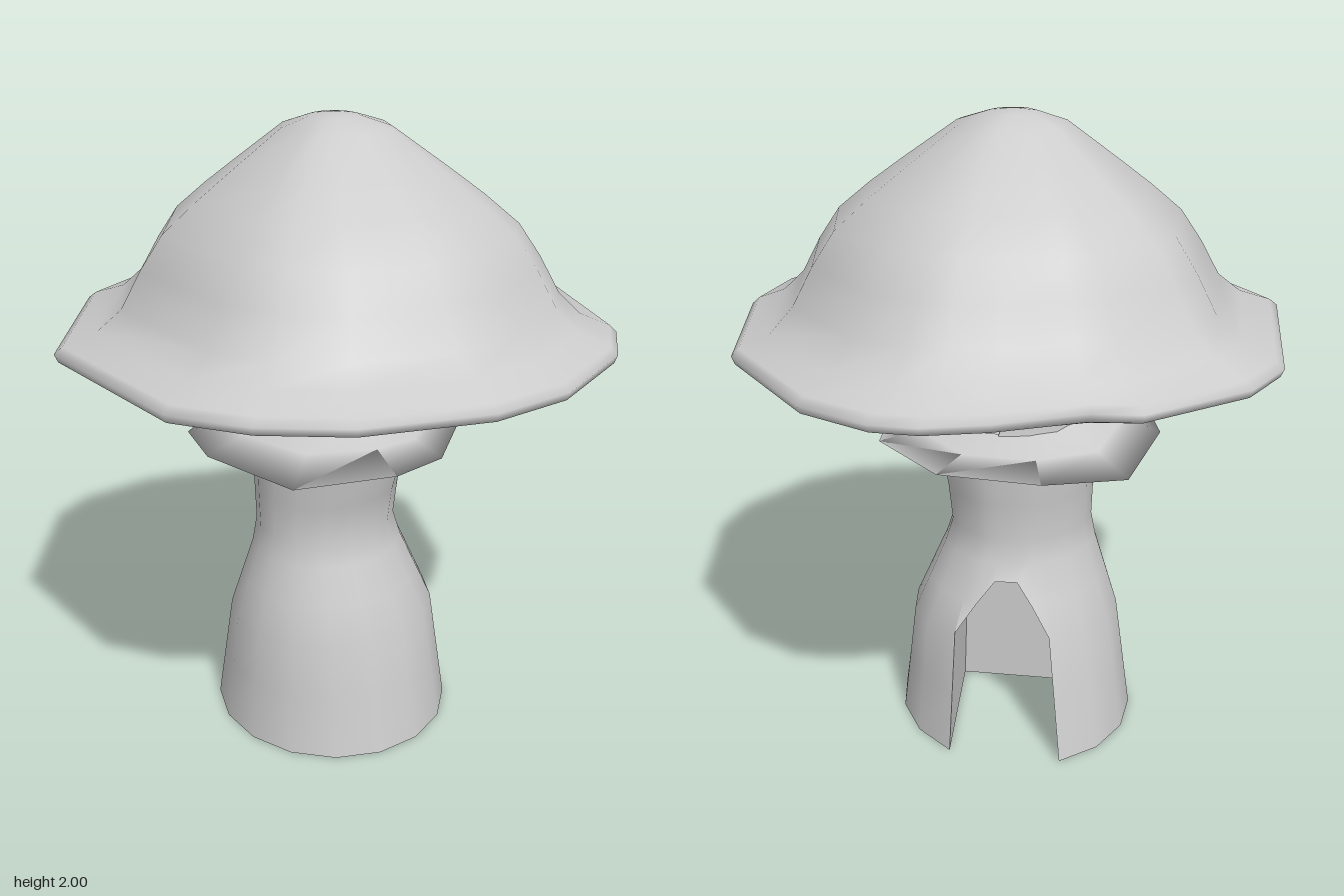
import * as THREE from 'three';
import { mergeVertices } from 'three/addons/utils/BufferGeometryUtils.js';

const V = (x, y, z) => new THREE.Vector3(x, y, z);
const material = new THREE.MeshStandardMaterial({ color: 0xcccccc, side: THREE.DoubleSide });

// Skin a stack of point rows (bottom to top, angle from +x toward +z); smooth or faceted
function loft(name, rows, { closed = true, smooth = true } = {}) {
  const n = rows[0].length, index = [];
  for (let j = 0; j < rows.length - 1; j++) {
    for (let i = 0; i < (closed ? n : n - 1); i++) {
      const a = j * n + i, b = j * n + (i + 1) % n;
      index.push(a, a + n, b, b, a + n, b + n);
    }
  }
  let geo = new THREE.BufferGeometry().setFromPoints(rows.flat());
  geo.setIndex(index);
  geo = smooth ? mergeVertices(geo, 1e-4) : geo.toNonIndexed();
  geo.computeVertexNormals();
  const mesh = new THREE.Mesh(geo, material);
  mesh.name = name;
  return mesh;
}

// Linear lookup in a table of [key, ...values]
function lookup(table, key) {
  let k = 0;
  while (k < table.length - 2 && key > table[k + 1][0]) k++;
  const [a, b] = [table[k], table[k + 1]];
  const t = THREE.MathUtils.clamp((key - a[0]) / (b[0] - a[0]), 0, 1);
  return a.slice(1).map((v, i) => v + (b[i + 1] - v) * t);
}

// Stem sections: height, min x, max x, min z, max z
const STEM = [
  [0, -0.41, 0.36, -0.45, 0.36], [0.38, -0.37, 0.315, -0.36, 0.285],
  [0.62, -0.3, 0.205, -0.26, 0.195], [0.7, -0.28, 0.185, -0.25, 0.165],
  [0.82, -0.285, 0.195, -0.255, 0.18], [1.0, -0.29, 0.22, -0.28, 0.23],
  [1.14, -0.27, 0.17, -0.265, 0.23], [1.33, -0.285, 0.185, -0.285, 0.26],
  [1.5, -0.265, 0.165, -0.26, 0.235], [1.65, -0.2, 0.11, -0.2, 0.17],
];
function stemPoint(angle, y) {
  const [x0, x1, z0, z1] = lookup(STEM, y);
  return V((x0 + x1) / 2 + (x1 - x0) / 2 * Math.cos(angle), y,
    (z0 + z1) / 2 + (z1 - z0) / 2 * Math.sin(angle));
}

// Openings: angles of the two sides, foot, and arch as [fraction across, height]
const DOOR = { from: -1.46, to: -0.51, foot: 0, plane: -0.08, spread: 1.2,
  arch: [[0, 0.4], [0.18, 0.5], [0.36, 0.57], [0.64, 0.57], [0.82, 0.5], [1, 0.4]] };
const WINDOW = { from: -0.85, to: 0.15, foot: 1.06, plane: -0.06, spread: 1.1,
  arch: [[0, 1.36], [0.14, 1.46], [0.34, 1.53], [0.66, 1.53], [0.86, 1.46], [1, 1.36]] };

// Stem wall whose lower edge rises over an opening
function stemWall(name, heights, o) {
  const columns = o.arch.map(([f, y]) => [o.from + (o.to - o.from) * f, y]);
  const sweep = Math.PI * 2 - (o.to - o.from), steps = 14;
  for (let i = 0; i <= steps; i++) columns.push([o.to + sweep * i / steps, o.foot]);
  // rows below the arch collapse onto its edge
  const rows = heights.map(y => columns.map(([a, low]) => stemPoint(a, Math.max(y, low))));
  return loft(name, rows);
}

// Recess behind an opening: jambs running inward to a flat back panel
function recess(name, o) {
  const mid = (o.from + o.to) / 2;
  const out = V(Math.cos(mid), 0, Math.sin(mid)), across = V(-Math.sin(mid), 0, Math.cos(mid));
  const onPanel = (u, y) => across.clone().multiplyScalar(u).addScaledVector(out, o.plane).setY(y);
  const outline = [[0, o.foot], ...o.arch, [1, o.foot]]
    .map(([f, y]) => stemPoint(o.from + (o.to - o.from) * f, y));
  const back = outline.map(p => onPanel(p.dot(across) * o.spread, p.y));
  const u = (back[0].dot(across) + back[back.length - 1].dot(across)) / 2;
  const centre = back.map(() => onPanel(u, o.foot));
  return loft(name, [outline, back, centre], { closed: false, smooth: false });
}

// Skirt around the stem: outer corners as x, y, z, drooping toward the back
function skirt() {
  const corners = [
    [0.43, 1.03, -0.02], [0.29, 1.03, 0.22], [0.1, 1.01, 0.37], [-0.14, 1.05, 0.46],
    [-0.41, 1.03, 0.33], [-0.5, 1.035, 0], [-0.42, 1.0, -0.27], [-0.18, 0.97, -0.48],
    [0.1, 1.0, -0.46], [0.36, 1.02, -0.3],
  ].map(c => V(...c));
  const angles = corners.map(c => Math.atan2(c.z + 0.02, c.x + 0.04));
  const top = corners.map((c, i) => stemPoint(angles[i], 1.095 + 0.05 * (c.z - c.x)));
  const bottom = corners.map((c, i) => stemPoint(angles[i], Math.min(0.985, c.y - 0.035)));
  const shoulder = corners.map((c, i) =>
    c.clone().lerp(top[i], 0.55).setY(c.y * 0.45 + top[i].y * 0.55 - 0.01));
  return loft('skirt', [bottom, corners, shoulder, top]);
}

// Cap: an irregular brim outline blended into a rounder dome, hollow below
function cap() {
  const brim = [
    [0.84, 0.06], [0.65, 0.52], [0.49, 0.68], [0.16, 0.82], [-0.1, 0.83], [-0.46, 0.71],
    [-0.67, 0.55], [-0.81, 0.35], [-0.85, -0.25], [-0.52, -0.73], [-0.35, -0.82], [0, -0.84],
    [0.12, -0.77], [0.38, -0.72], [0.55, -0.66], [0.66, -0.58], [0.78, -0.38],
  ];
  // fraction of the brim radius and height, from the hollow outward and over the top
  const profile = [
    [0, 1.74], [0.22, 1.73], [0.42, 1.66], [0.6, 1.54], [0.74, 1.42], [0.86, 1.35],
    [0.96, 1.315], [0.99, 1.325], [1, 1.35], [0.975, 1.37], [0.87, 1.405], [0.79, 1.47],
    [0.72, 1.58], [0.64, 1.68], [0.52, 1.765], [0.4, 1.84], [0.2, 1.96], [0.09, 1.99], [0, 2],
  ];
  const rows = profile.map(([f, y]) => brim.map(([x, z]) => {
    const r = Math.hypot(x, z), w = f ** 3;
    // shallow dent in the dome above the doorway
    const dent = 1 - 0.07 * Math.sin(Math.PI * f) * Math.exp(-(((Math.atan2(z, x) + 1.0) / 0.35) ** 2));
    const s = f * dent * (r * w + 0.83 * (1 - w)) / r;
    // the brim tips slightly up toward the model's right
    const tilt = 0.012 * f * (z - x) * (y < 1.45 ? 1 : 0);
    return V(x * s - 0.02 * (1 - f), y + tilt, z * s - 0.03 * (1 - f));
  }));
  return loft('cap', rows);
}

export function createModel() {
  const group = new THREE.Group();
  group.name = 'mushroomHouse';
  const lower = [0, 0.2, 0.38, 0.5, 0.62, 0.7, 0.82, 1.0, 1.06];
  const upper = [1.06, 1.14, 1.33, 1.5, 1.65, 1.73];
  group.add(
    stemWall('lowerStem', lower, DOOR),
    stemWall('upperStem', upper, WINDOW),
    recess('doorway', DOOR),
    recess('windowRecess', WINDOW),
    skirt(),
    cap(),
  );
  return group;
}
